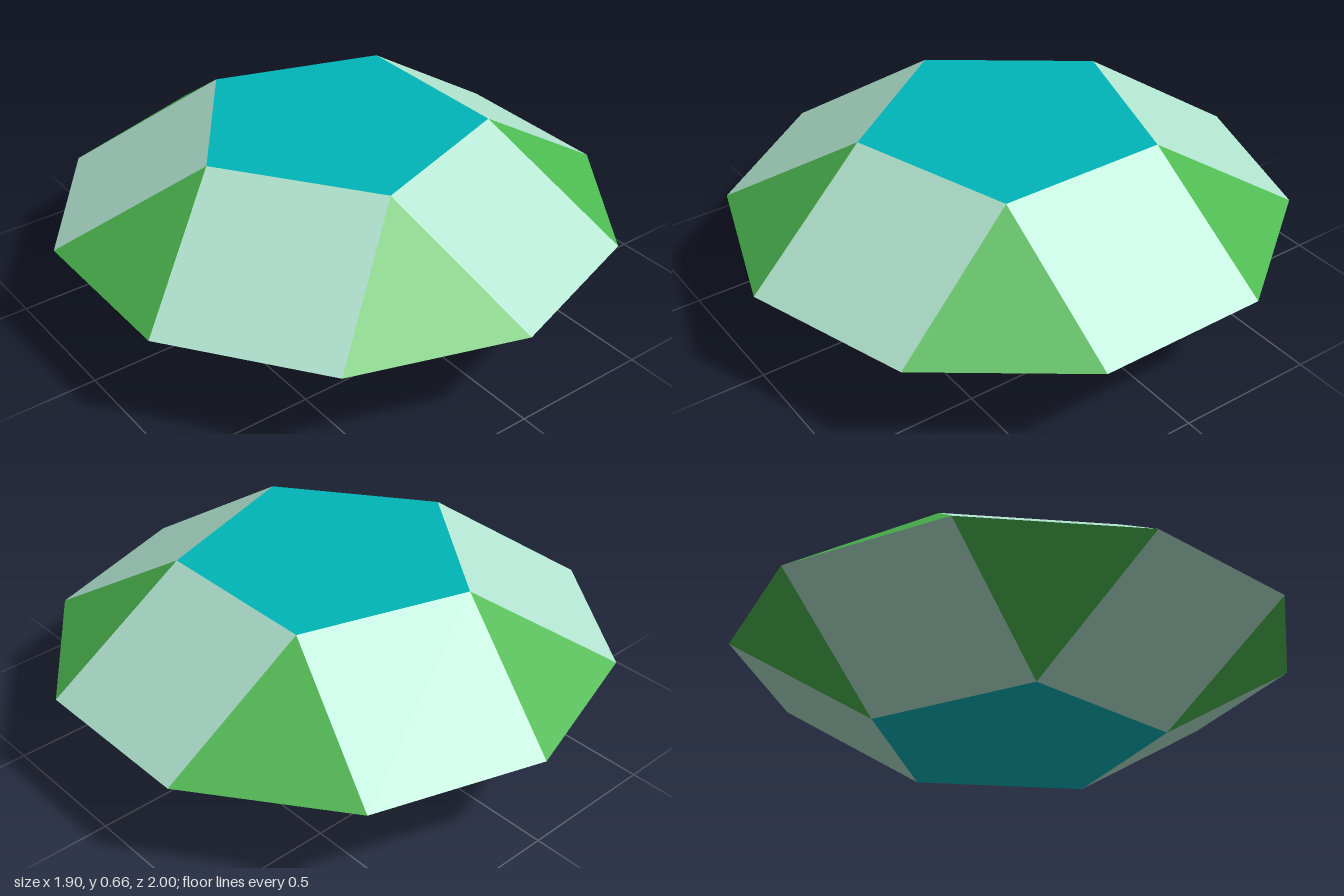
import * as THREE from 'three';

const A = 2 * Math.sin(Math.PI / 10);             // common edge length
const R = A / (2 * Math.sin(Math.PI / 5));        // pentagon radius
const H = A * Math.sqrt((5 - Math.sqrt(5)) / 10); // height of one cupola

const ring = (radius, deg, y) => {
  const t = THREE.MathUtils.degToRad(deg);
  return new THREE.Vector3(radius * Math.cos(t), y, radius * Math.sin(t));
};

// Flat convex faces, fanned and wound away from the origin
function facesGeometry(faces) {
  const pos = [];
  for (const f of faces) {
    const n = new THREE.Vector3().crossVectors(f[1].clone().sub(f[0]), f[2].clone().sub(f[0]));
    const p = n.dot(f[0]) < 0 ? [...f].reverse() : f;
    for (let i = 1; i < p.length - 1; i++) {
      for (const v of [p[0], p[i], p[i + 1]]) pos.push(v.x, v.y, v.z);
    }
  }
  const g = new THREE.BufferGeometry();
  g.setAttribute('position', new THREE.Float32BufferAttribute(pos, 3));
  g.computeVertexNormals();
  return g;
}

export function createModel() {
  const mat = (name, color) => {
    const m = new THREE.MeshStandardMaterial({ color });
    m.name = name;
    return m;
  };
  const teal = mat('teal', 0x00b5b8);
  const mint = mat('paleMint', 0xb1e3cf);
  const green = mat('green', 0x4cb850);

  const model = new THREE.Group();
  model.name = 'pentagonalBicupola';
  const body = new THREE.Group();
  body.name = 'body';
  model.add(body);

  // One cupola: pentagon cap, five squares and five triangles
  function cupola(name, y, start) {
    const cap = [], squares = [], triangles = [];
    for (let i = 0; i < 5; i++) {
      const a = start + 72 * i; // direction of a square
      const p = ring(R, a + 36, y);
      cap.push(p);
      squares.push([ring(R, a - 36, y), p, ring(1, a + 18, 0), ring(1, a - 18, 0)]);
      triangles.push([p, ring(1, a + 18, 0), ring(1, a + 54, 0)]);
    }
    const half = new THREE.Group();
    half.name = name;
    for (const [part, faces, m] of [
      ['pentagonCap', [cap], teal],
      ['squareFaces', squares, mint],
      ['triangleFaces', triangles, green],
    ]) {
      const mesh = new THREE.Mesh(facesGeometry(faces), m);
      mesh.name = part;
      half.add(mesh);
    }
    body.add(half);
  }

  cupola('upperCupola', H, 0);
  cupola('lowerCupola', -H, 180);

  // Slight lean to the side, resting on the lowest corner
  const lean = 0.005;
  body.rotation.z = -lean;
  body.position.y = H + R * lean;
  return model;
}
